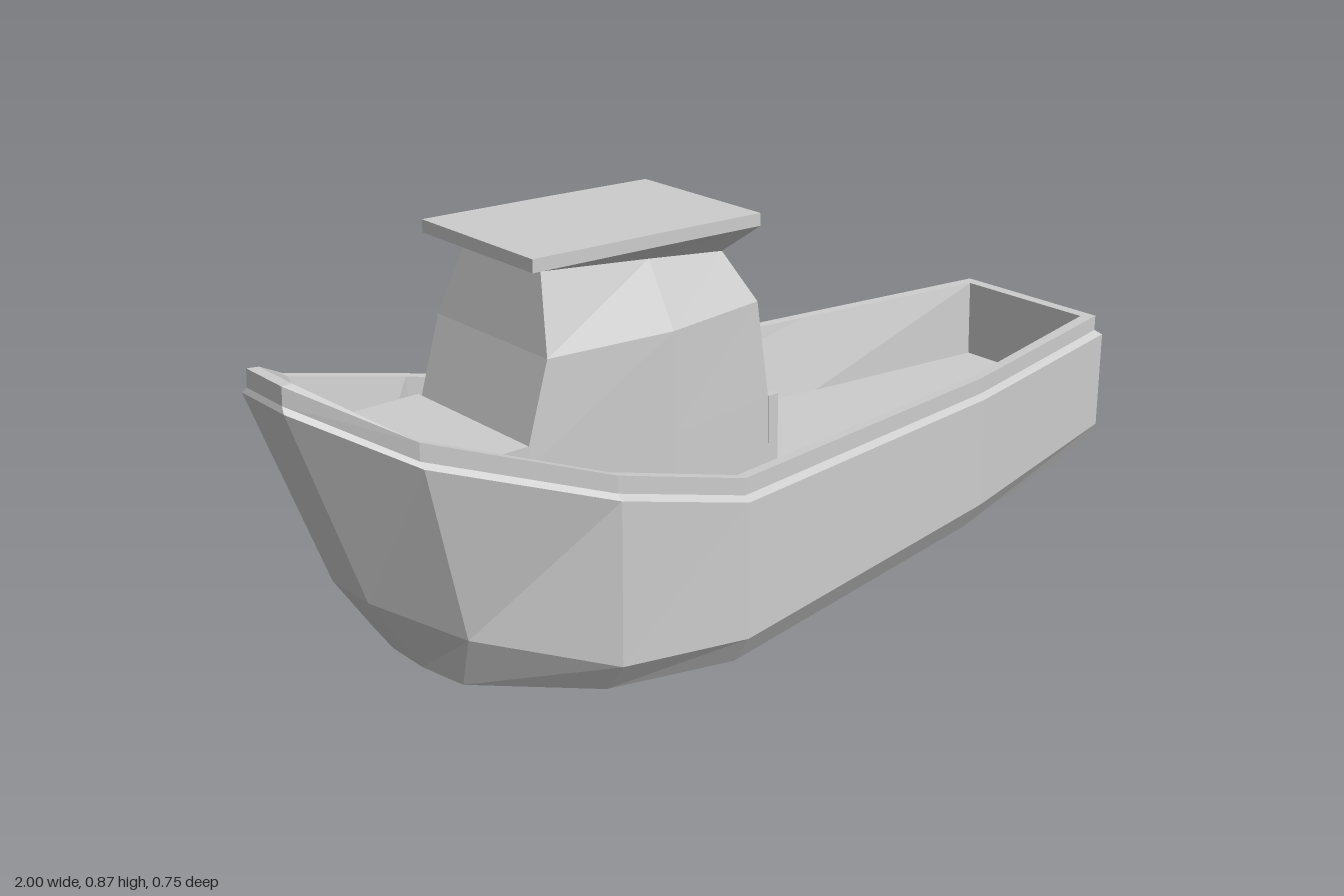
import * as THREE from 'three';

const paint = new THREE.MeshStandardMaterial({ color: 0xcccccc, side: THREE.DoubleSide });
paint.name = 'light grey';

// Closed ring from stations [x, y, halfWidth]: along +z from bow to stern, back along -z
const ring = (stations) => [
  ...stations.map(([x, y, z]) => [x, y, z]),
  ...stations.map(([x, y, z]) => [x, y, -z]).reverse(),
];
// Same stations collapsed to the centre line, to close a loft
const spine = (stations) => stations.map(([x, y]) => [x, y, 0]);

// Faceted skin through rings; openEnd leaves out the stern-facing panels
function loft(name, levels, openEnd = false) {
  const rings = levels.map(ring);
  const n = rings[0].length;
  const pos = [];
  for (let r = 0; r < rings.length - 1; r++) {
    const a = rings[r], b = rings[r + 1];
    for (let i = 0; i < n; i++) {
      if (openEnd && i === n / 2 - 1) continue;
      const j = (i + 1) % n;
      pos.push(...a[i], ...a[j], ...b[j], ...a[i], ...b[j], ...b[i]);
    }
  }
  const g = new THREE.BufferGeometry();
  g.setAttribute('position', new THREE.Float32BufferAttribute(pos, 3));
  g.computeVertexNormals();
  const mesh = new THREE.Mesh(g, paint);
  mesh.name = name;
  return mesh;
}

function box(name, w, h, d, x, y, z) {
  const mesh = new THREE.Mesh(new THREE.BoxGeometry(w, h, d), paint);
  mesh.name = name;
  mesh.position.set(x, y, z);
  return mesh;
}

export function createModel() {
  const boat = new THREE.Group();
  boat.name = 'boat';

  // Hull: keel, lower chine, upper chine and sheer line
  const keel = [[-0.74, 0.09, 0], [-0.73, 0.085, 0], [-0.52, 0.03, 0], [-0.24, 0, 0], [0.5, 0.035, 0], [0.97, 0.1, 0]];
  const lowChine = [[-0.75, 0.1, 0.05], [-0.73, 0.098, 0.15], [-0.52, 0.075, 0.3], [-0.24, 0.048, 0.335], [0.5, 0.078, 0.25], [0.97, 0.113, 0.175]];
  const chine = [[-0.86, 0.27, 0.06], [-0.75, 0.215, 0.205], [-0.52, 0.14, 0.35], [-0.24, 0.11, 0.375], [0.5, 0.14, 0.29], [1, 0.17, 0.2]];
  const sheer = [[-1, 0.665, 0.07], [-0.84, 0.575, 0.235], [-0.52, 0.465, 0.355], [-0.24, 0.388, 0.375], [0.5, 0.38, 0.29], [1, 0.388, 0.2]];
  boat.add(loft('hull', [keel, lowChine, chine, sheer]));

  // Gunwale rail: narrow ledge, upright band and flat top
  const inset = (s, d, dx0, dx1, dy) => s.map(([x, y, z], i) =>
    [x + (i === 0 ? dx0 : i === s.length - 1 ? -dx1 : 0), y + dy, z - d]);
  const railFoot = inset(sheer, 0.011, 0.004, 0.015, 0.011);
  const railTop = inset(sheer, 0.011, 0.006, 0.015, 0.045);
  const railInner = inset(sheer, 0.034, 0.028, 0.04, 0.044);
  railInner[0][2] = 0.055;
  boat.add(loft('gunwaleRail', [sheer, railFoot, railTop, railInner]));

  // Inner bulwark sloping in to the deck
  const deckY = 0.26;
  const deck = [[-0.82, deckY, 0.05], [-0.74, deckY, 0.175], [-0.5, deckY, 0.325], [-0.24, deckY, 0.312], [0.5, deckY, 0.215], [0.955, deckY, 0.157]];
  boat.add(loft('bulwark', [railInner, deck]));
  boat.add(loft('deck', [deck, spine(deck)]));

  // Raised foredeck in front of the cabin
  const foreTop = [[-0.91, 0.53, 0.07], [-0.86, 0.53, 0.175], [-0.585, 0.53, 0.175]];
  const foreFoot = [[-0.81, deckY, 0.05], [-0.74, deckY, 0.172], [-0.585, deckY, 0.172]];
  boat.add(loft('foredeck', [foreFoot, foreTop, spine(foreTop)]));

  // Cabin: bulging sides, shoulders leaning in, open doorway low at the back
  const cabin = new THREE.Group();
  cabin.name = 'cabin';
  const foot = [[-0.595, deckY, 0.17], [-0.27, deckY, 0.2], [0, deckY, 0.17]];
  const lintel = [[-0.595, 0.48, 0.17], [-0.27, 0.48, 0.2], [-0.006, 0.48, 0.17]];
  const shoulder = [[-0.535, 0.68, 0.17], [-0.27, 0.68, 0.2], [-0.036, 0.68, 0.17]];
  const neck = [[-0.505, 0.822, 0.117], [-0.27, 0.802, 0.13], [-0.08, 0.777, 0.117]];
  cabin.add(loft('cabinLowerWalls', [foot, lintel], true));
  cabin.add(loft('cabinUpperWalls', [lintel, shoulder, neck]));
  cabin.add(loft('doorwayCeiling', [lintel, spine(lintel)]));
  for (const s of [1, -1]) {
    cabin.add(box('doorPost', 0.025, 0.22, 0.016, 0.0075, deckY + 0.11, s * 0.163));
  }

  // Roof: flared underside and thin sloping slab
  const eave = [[-0.56, 0.842, 0.17], [-0.27, 0.835, 0.17], [-0.03, 0.828, 0.17]];
  const roofTop = [[-0.56, 0.867, 0.17], [-0.27, 0.86, 0.17], [-0.03, 0.853, 0.17]];
  cabin.add(loft('roof', [neck, eave, roofTop, spine(roofTop)]));
  boat.add(cabin);

  return boat;
}
